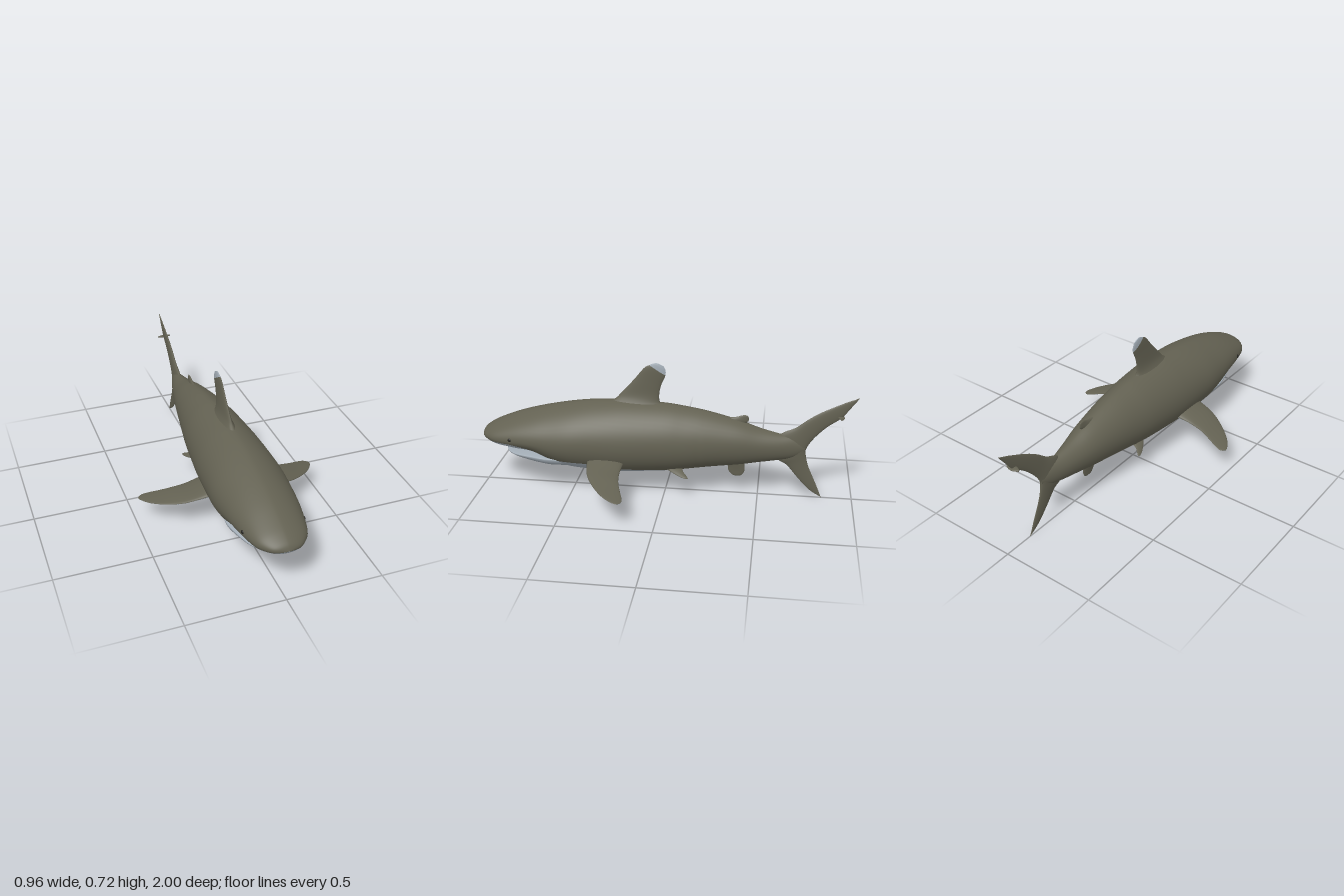
import * as THREE from 'three';

const mat = (name, color) => {
  const m = new THREE.MeshStandardMaterial({ color });
  m.name = name;
  return m;
};

// Catmull-Rom resampling of rows of numbers
function smooth(rows, steps) {
  const at = i => rows[Math.min(Math.max(i, 0), rows.length - 1)];
  const out = [];
  for (let i = 0; i < rows.length - 1; i++) {
    for (let k = 0; k < steps; k++) {
      const t = k / steps;
      out.push(at(i).map((b, c) => {
        const a = at(i - 1)[c], d = at(i + 1)[c], e = at(i + 2)[c];
        return b + 0.5 * t * (d - a + t * (2 * a - 5 * b + 4 * d - e + t * (3 * (b - d) + e - a)));
      }));
    }
  }
  out.push(at(rows.length - 1));
  return out;
}

// Closed skin over rings of points; the first `split` columns use material 0, the rest material 1
function loft(name, rings, split, mats) {
  const centre = ring => {
    const c = new THREE.Vector3();
    ring.forEach(p => c.add(p));
    c.divideScalar(ring.length);
    return ring.map(() => c);
  };
  const first = rings[0], last = rings[rings.length - 1];
  const all = [centre(first), first, ...rings, last, centre(last)];
  const n = first.length;
  const pts = all.flat();
  const index = [[], []];
  let volume = 0;
  for (let i = 0; i < all.length - 1; i++) {
    for (let j = 0; j < n; j++) {
      const a = i * n + j, b = i * n + (j + 1) % n, c = a + n, d = b + n;
      for (const tri of [[a, b, d], [a, d, c]]) {
        index[j < split ? 0 : 1].push(...tri);
        volume += pts[tri[0]].dot(pts[tri[1]].clone().cross(pts[tri[2]]));
      }
    }
  }
  // turn the faces outward
  if (volume < 0) {
    for (const list of index) {
      for (let k = 0; k < list.length; k += 3) [list[k], list[k + 1]] = [list[k + 1], list[k]];
    }
  }
  const geo = new THREE.BufferGeometry().setFromPoints(pts);
  geo.setIndex([...index[0], ...index[1]]);
  geo.addGroup(0, index[0].length, 0);
  geo.addGroup(index[0].length, index[1].length, 1);
  geo.computeVertexNormals();
  const mesh = new THREE.Mesh(geo, mats);
  mesh.name = name;
  return mesh;
}

// Fin from sections: leading point, trailing point, half thickness along the normal
function fin(name, sections, normal, mats) {
  const N = 24;
  const rings = smooth(sections, 5).map(([ax, ay, az, bx, by, bz, t]) => {
    const lead = new THREE.Vector3(ax, ay, az), trail = new THREE.Vector3(bx, by, bz);
    return Array.from({ length: N }, (_, j) => {
      const a = j / N * Math.PI * 2;
      return lead.clone().lerp(trail, (1 - Math.cos(a)) / 2)
        .addScaledVector(normal, Math.max(t, 0.001) * Math.sin(a));
    });
  });
  return loft(name, rings, N / 2, mats);
}

// Upright fin on the centre plane: rows of lead z, lead y, trail z, trail y, half thickness
const uprightFin = (name, rows, m) => fin(name,
  rows.map(([az, ay, bz, by, t]) => [0, ay, az, 0, by, bz, t]), new THREE.Vector3(1, 0, 0), [m, m]);

// Trunk skin: rows of z, top, bottom, half width, height of widest point, colour seam height
function trunk(name, rows, mats) {
  const U = 36, L = 20;
  const rings = smooth(rows, 4).map(([z, top, bot, w, mid, seam]) => {
    const s = -Math.asin(Math.min(Math.max((mid - seam) / (mid - bot), 0), 1));
    return Array.from({ length: U + L }, (_, j) => {
      const a = j < U ? s + (Math.PI - 2 * s) * j / U
        : Math.PI - s + (Math.PI + 2 * s) * (j - U) / L;
      const c = Math.cos(a), h = Math.sin(a);
      const x = w * Math.sign(c) * Math.pow(Math.abs(c), h > 0 ? 1.22 : 0.95);
      return new THREE.Vector3(x, mid + h * (h > 0 ? top - mid : mid - bot), z);
    });
  });
  return loft(name, rings, U, mats);
}

export function createModel() {
  const group = new THREE.Group();
  const skin = mat('oliveSkin', 0x636152);
  const pale = mat('paleSkin', 0xa2acb5);
  const dark = mat('eyeDark', 0x24231f);
  const up = new THREE.Vector3(0, 1, 0);

  // body with snout and pale belly
  group.add(trunk('body', [
    [1.0, 0.297, 0.291, 0.012, 0.294, 0.292],
    [0.985, 0.322, 0.273, 0.065, 0.295, 0.286],
    [0.95, 0.347, 0.256, 0.105, 0.297, 0.282],
    [0.9, 0.372, 0.241, 0.135, 0.297, 0.28],
    [0.8, 0.412, 0.225, 0.16, 0.3, 0.276],
    [0.7, 0.442, 0.213, 0.177, 0.3, 0.248],
    [0.6, 0.466, 0.158, 0.188, 0.295, 0.206],
    [0.5, 0.485, 0.13, 0.195, 0.295, 0.2],
    [0.4, 0.499, 0.12, 0.192, 0.295, 0.195],
    [0.3, 0.506, 0.114, 0.187, 0.295, 0.172],
    [0.2, 0.509, 0.114, 0.18, 0.295, 0.158],
    [0.0, 0.5, 0.127, 0.16, 0.3, 0.155],
    [-0.1, 0.488, 0.14, 0.146, 0.3, 0.152],
    [-0.2, 0.472, 0.155, 0.13, 0.305, 0.155],
    [-0.3, 0.449, 0.168, 0.113, 0.306, 0.168],
    [-0.4, 0.422, 0.18, 0.095, 0.305, 0.18],
    [-0.5, 0.387, 0.197, 0.073, 0.297, 0.197],
    [-0.6, 0.362, 0.213, 0.05, 0.29, 0.213],
    [-0.68, 0.345, 0.23, 0.027, 0.285, 0.23],
    [-0.74, 0.31, 0.262, 0.008, 0.285, 0.262],
  ], [skin, pale]));

  // lower jaw
  group.add(trunk('lowerJaw', [
    [0.868, 0.217, 0.209, 0.025, 0.213, 0.21],
    [0.85, 0.22, 0.196, 0.07, 0.211, 0.2],
    [0.8, 0.217, 0.178, 0.108, 0.207, 0.2],
    [0.7, 0.222, 0.156, 0.142, 0.208, 0.2],
    [0.6, 0.222, 0.142, 0.157, 0.205, 0.2],
    [0.48, 0.215, 0.14, 0.135, 0.2, 0.19],
  ], [pale, pale]));

  // first dorsal fin and its pale tip
  group.add(uprightFin('dorsalFin', [
    [0.34, 0.475, -0.03, 0.465, 0.05],
    [0.27, 0.515, 0.025, 0.5, 0.028],
    [0.235, 0.55, 0.034, 0.545, 0.016],
    [0.168, 0.625, 0.024, 0.6, 0.011],
    [0.115, 0.69, 0.006, 0.642, 0.009],
    [0.085, 0.709, 0, 0.656, 0.008],
  ], skin));
  group.add(uprightFin('dorsalFinTip', [
    [0.085, 0.709, 0, 0.656, 0.008],
    [0.063, 0.719, 0, 0.682, 0.006],
    [0.046, 0.721, 0.009, 0.704, 0.003],
  ], pale));

  // second dorsal, anal and tail fins
  group.add(uprightFin('secondDorsalFin', [
    [-0.28, 0.42, -0.43, 0.39, 0.016],
    [-0.325, 0.437, -0.425, 0.41, 0.01],
    [-0.37, 0.443, -0.439, 0.425, 0.007],
    [-0.405, 0.454, -0.438, 0.446, 0.004],
    [-0.42, 0.456, -0.432, 0.453, 0.001],
  ], skin));
  group.add(uprightFin('analFin', [
    [-0.3, 0.19, -0.43, 0.2, 0.014],
    [-0.335, 0.162, -0.425, 0.172, 0.01],
    [-0.34, 0.135, -0.427, 0.138, 0.006],
    [-0.358, 0.111, -0.414, 0.112, 0.004],
    [-0.375, 0.104, -0.4, 0.104, 0.001],
  ], skin));
  group.add(uprightFin('tailFin', [
    [-1.0, 0.58, -0.998, 0.576, 0.002],
    [-0.96, 0.563, -0.965, 0.53, 0.004],
    [-0.925, 0.548, -0.915, 0.465, 0.006],
    [-0.82, 0.495, -0.85, 0.415, 0.009],
    [-0.75, 0.45, -0.8, 0.365, 0.011],
    [-0.687, 0.4, -0.765, 0.32, 0.013],
    [-0.61, 0.36, -0.747, 0.285, 0.017],
    [-0.57, 0.29, -0.743, 0.27, 0.02],
    [-0.6, 0.215, -0.745, 0.25, 0.016],
    [-0.65, 0.182, -0.752, 0.215, 0.011],
    [-0.714, 0.107, -0.767, 0.17, 0.007],
    [-0.777, 0.043, -0.81, 0.075, 0.005],
    [-0.838, 0.006, -0.84, 0.003, 0.002],
  ], skin));
  // small flare at the notch of the upper tail lobe
  group.add(fin('tailNotchFlare', [-0.037, -0.012, 0.012, 0.037].map(x => {
    const c = Math.abs(x) > 0.02 ? 0.004 : 0.016;
    return [x, 0.472, -0.915 + c, x, 0.468, -0.915 - c, 0.004];
  }), up, [skin, skin]));

  // paired fins (dark above, pale below) and eyes
  const pectoral = [
    [0.12, 0.228, 0.4, 0.12, 0.212, 0.2, 0.03],
    [0.19, 0.212, 0.392, 0.19, 0.2, 0.207, 0.02],
    [0.243, 0.2, 0.383, 0.245, 0.19, 0.21, 0.014],
    [0.3, 0.184, 0.364, 0.315, 0.178, 0.202, 0.011],
    [0.376, 0.165, 0.317, 0.375, 0.162, 0.184, 0.008],
    [0.44, 0.15, 0.26, 0.425, 0.149, 0.167, 0.006],
    [0.476, 0.141, 0.206, 0.455, 0.141, 0.161, 0.004],
    [0.482, 0.138, 0.182, 0.474, 0.138, 0.17, 0.002],
  ];
  const pelvic = [
    [0.05, 0.165, 0.02, 0.05, 0.168, -0.1, 0.016],
    [0.095, 0.155, -0.03, 0.095, 0.157, -0.105, 0.009],
    [0.13, 0.14, -0.09, 0.13, 0.14, -0.132, 0.005],
    [0.142, 0.135, -0.122, 0.141, 0.135, -0.137, 0.002],
  ];
  for (const [side, s] of [['left', 1], ['right', -1]]) {
    const mirror = rows => rows.map(r => r.map((v, i) => (i === 0 || i === 3 ? s * v : v)));
    group.add(fin(side + 'PectoralFin', mirror(pectoral), up, [skin, pale]));
    group.add(fin(side + 'PelvicFin', mirror(pelvic), up, [skin, pale]));
    const eye = new THREE.Mesh(new THREE.SphereGeometry(0.012, 16, 12), dark);
    eye.name = side + 'Eye';
    eye.position.set(s * 0.149, 0.306, 0.815);
    group.add(eye);
  }
  return group;
}
